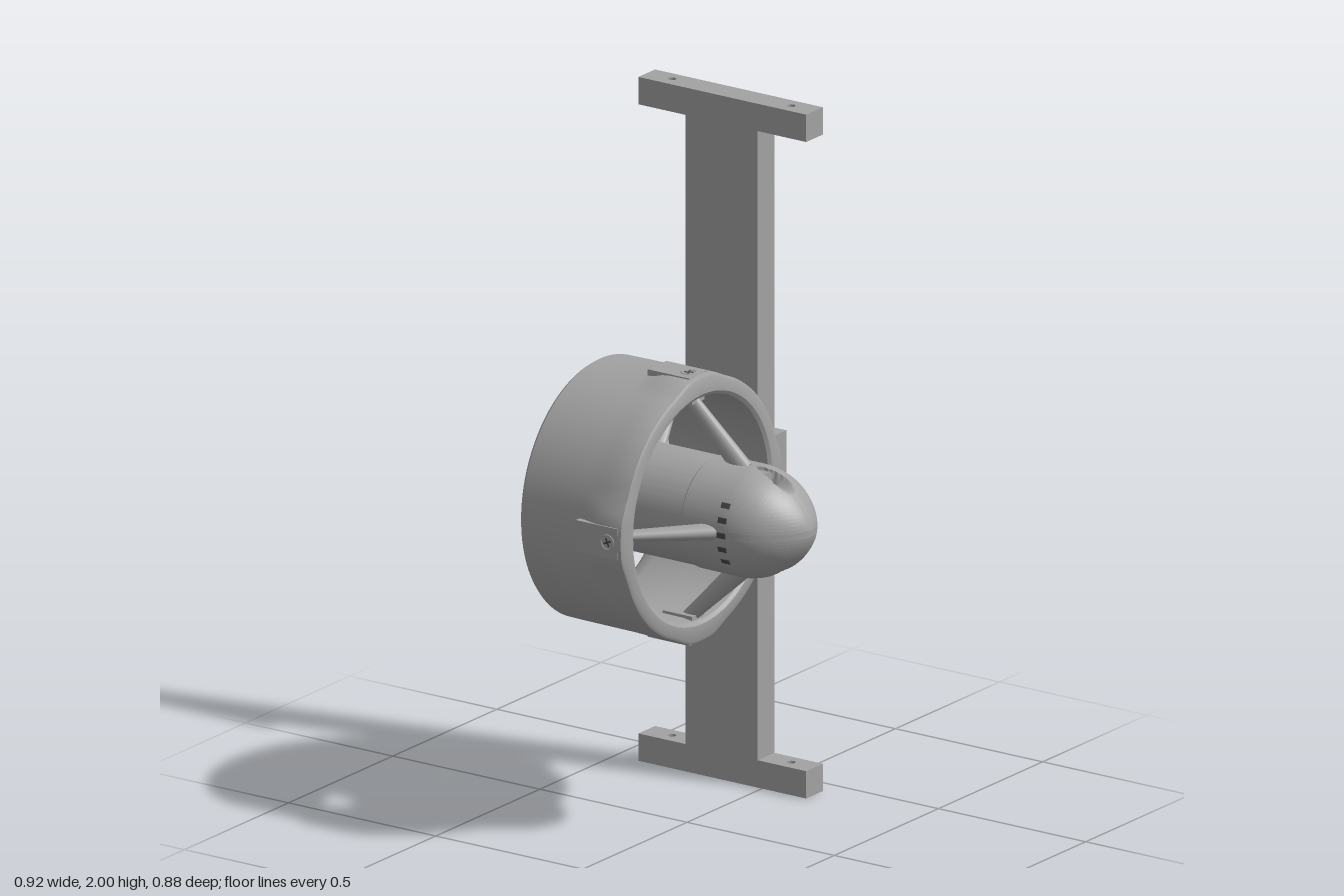
import * as THREE from 'three';
import { toCreasedNormals } from 'three/addons/utils/BufferGeometryUtils.js';

const grey = new THREE.MeshStandardMaterial({ color: 0xa2a2a2 });
grey.name = 'grey';
const darkGrey = new THREE.MeshStandardMaterial({ color: 0x484848 });
darkGrey.name = 'dark grey';

function add(parent, name, geometry, material = grey) {
  const mesh = new THREE.Mesh(geometry, material);
  mesh.name = name;
  parent.add(mesh);
  return mesh;
}

// Box given by its lower and upper limits on each axis
function box(parent, name, [x0, x1], [y0, y1], [z0, z1], material) {
  const mesh = add(parent, name, new THREE.BoxGeometry(x1 - x0, y1 - y0, z1 - z0), material);
  mesh.position.set((x0 + x1) / 2, (y0 + y1) / 2, (z0 + z1) / 2);
  return mesh;
}

// Rectangular plate with round holes, extruded along +z
function drilledPlate(x0, x1, y0, y1, depth, holes, radius) {
  const shape = new THREE.Shape();
  shape.moveTo(x0, y0).lineTo(x1, y0).lineTo(x1, y1).lineTo(x0, y1).closePath();
  for (const [x, y] of holes) {
    shape.holes.push(new THREE.Path().absarc(x, y, radius, 0, Math.PI * 2, true));
  }
  return new THREE.ExtrudeGeometry(shape, { depth, bevelEnabled: false, curveSegments: 10 });
}

// Revolved profile of [x, radius] points, with a rule that may change each radius
function revolve(profile, segments, rule) {
  const geometry = new THREE.LatheGeometry(profile.map(([x, r]) => new THREE.Vector2(r, x)), segments);
  const pos = geometry.attributes.position;
  for (let i = 0; i < pos.count; i++) {
    const x = pos.getX(i), z = pos.getZ(i), r = Math.hypot(x, z);
    if (r < 0.001) continue;
    const k = rule(pos.getY(i), r, Math.atan2(x, z)) / r;
    pos.setX(i, x * k);
    pos.setZ(i, z * k);
  }
  geometry.rotateZ(-Math.PI / 2);
  return toCreasedNormals(geometry, 0.6);
}

// Tapered oval bar from a hub point to a ring point, in the x-y plane
function bar(parent, name, [x0, y0], [x1, y1], hubRadius, ringRadius, chord) {
  const length = Math.hypot(x1 - x0, y1 - y0);
  const mesh = add(parent, name, new THREE.CylinderGeometry(ringRadius, hubRadius, length, 20));
  mesh.scale.x = chord;
  mesh.position.set((x0 + x1) / 2, (y0 + y1) / 2, 0);
  mesh.rotation.z = Math.atan2(y1 - y0, x1 - x0) - Math.PI / 2;
}

export function createModel() {
  const model = new THREE.Group();

  // Mounting frame: drilled web and two end bars
  const cx = -0.137, cy = 0.945;
  const webHoles = [[cx, cy + 0.078], [cx, cy - 0.078], [cx + 0.078, cy], [cx - 0.078, cy]];
  add(model, 'mountingWeb', drilledPlate(-0.26, -0.015, 0.08, 1.92, 0.08, webHoles, 0.017)).position.z = -0.44;
  for (const y of [0, 1.92]) {
    const end = add(model, 'endBar', drilledPlate(-0.42, 0.15, 0.36, 0.44, 0.08, [[-0.335, 0.4], [0.07, 0.4]], 0.0125));
    end.rotation.x = -Math.PI / 2;
    end.position.y = y;
  }
  box(model, 'mountingFoot', [-0.255, 0.083], [0.826, 1.064], [-0.36, -0.3]);

  const thruster = new THREE.Group();
  thruster.name = 'thruster';
  thruster.position.set(0, cy, 0.045);
  model.add(thruster);

  // Duct ring, swelling gently under each of the four clamp pads
  const ductProfile = [
    [-0.275, 0.355], [-0.273, 0.366], [-0.265, 0.372], [-0.2, 0.373], [-0.08, 0.374],
    [-0.05, 0.374], [-0.02, 0.375], [0.01, 0.376], [0.07, 0.376], [0.08, 0.373], [0.085, 0.365],
    [0.085, 0.335], [0.078, 0.325], [0.04, 0.32], [-0.1, 0.318], [-0.22, 0.32],
    [-0.255, 0.328], [-0.27, 0.34], [-0.275, 0.355],
  ];
  add(thruster, 'duct', revolve(ductProfile, 144, (x, r, a) => {
    if (r < 0.36) return r;
    const side = Math.abs(Math.sin(2 * a)) / 2 * r;
    const swell = THREE.MathUtils.smoothstep(x, -0.075, 0.0);
    return r + 0.014 * swell * (1 - THREE.MathUtils.smoothstep(side, 0.04, 0.13));
  }));

  // Hub with pointed tail and round nose; screw wells are bored into the nose
  const keys = [
    [-0.462, 0], [-0.458, 0.014], [-0.44, 0.036], [-0.4, 0.075], [-0.35, 0.113], [-0.3, 0.143],
    [-0.27, 0.153], [-0.22, 0.156], [0.12, 0.156], [0.125, 0.16], [0.25, 0.161],
  ];
  const nose = new THREE.SplineCurve([
    [0.25, 0.161], [0.28, 0.159], [0.32, 0.149], [0.36, 0.13], [0.4, 0.099], [0.43, 0.063], [0.448, 0.03], [0.456, 0],
  ].map(([x, r]) => new THREE.Vector2(x, r)));
  const nosePoints = nose.getSpacedPoints(48).slice(1).map((p) => [p.x, Math.max(p.y, 0)]);
  add(thruster, 'hub', revolve([...keys, ...nosePoints], 200, (x, r, a) => {
    const u = r * Math.cos(a); // sideways distance from the top and bottom lines
    const h = Math.sqrt(Math.max(0, 0.027 ** 2 - u * u));
    return x > 0.26 && Math.abs(r - 0.133) < h ? 0.133 - h : r;
  }));

  // Screws at the ends of the bored wells
  for (const s of [1, -1]) {
    const screw = add(thruster, 'noseScrew', new THREE.CylinderGeometry(0.02, 0.02, 0.03, 20));
    screw.rotation.z = Math.PI / 2;
    screw.position.set(0.295, s * 0.131, 0);
  }

  // Row of vent slots on the front and back of the hub
  for (const base of [0, Math.PI]) {
    for (let i = -2; i <= 2; i++) {
      const vent = new THREE.Group();
      vent.name = 'ventSlot';
      vent.rotation.x = base + Math.PI / 2 + i * 0.265;
      thruster.add(vent);
      box(vent, 'slot', [0.247, 0.275], [0.155, 0.1625], [-0.008, 0.008], darkGrey);
    }
  }

  for (let i = 0; i < 4; i++) {
    // Rear strut with its clamp pad and cross-head screw
    const arm = new THREE.Group();
    arm.name = 'rearArm';
    arm.rotation.x = i * Math.PI / 2;
    thruster.add(arm);
    bar(arm, 'strut', [0.225, 0.14], [0.015, 0.345], 0.024, 0.014, 1.35);
    box(arm, 'innerClamp', [-0.03, 0.07], [0.31, 0.34], [-0.03, 0.03]);
    box(arm, 'clampPad', [-0.07, 0.07], [0.365, 0.391], [-0.045, 0.045]);
    const rim = add(arm, 'screwRim', new THREE.TorusGeometry(0.021, 0.0022, 6, 24));
    rim.rotation.x = Math.PI / 2;
    rim.position.set(0.038, 0.391, 0);
    for (const turn of [0.4, 0.4 + Math.PI / 2]) {
      const cross = add(arm, 'screwCross', new THREE.BoxGeometry(0.026, 0.003, 0.005), darkGrey);
      cross.position.set(0.038, 0.391, 0);
      cross.rotation.y = turn;
    }

    // Diagonal vane at the tail side
    const vane = new THREE.Group();
    vane.name = 'tailVane';
    vane.rotation.x = (i + 0.5) * Math.PI / 2;
    thruster.add(vane);
    bar(vane, 'vane', [-0.19, 0.13], [-0.2, 0.335], 0.027, 0.016, 2.8);
  }
  return model;
}
